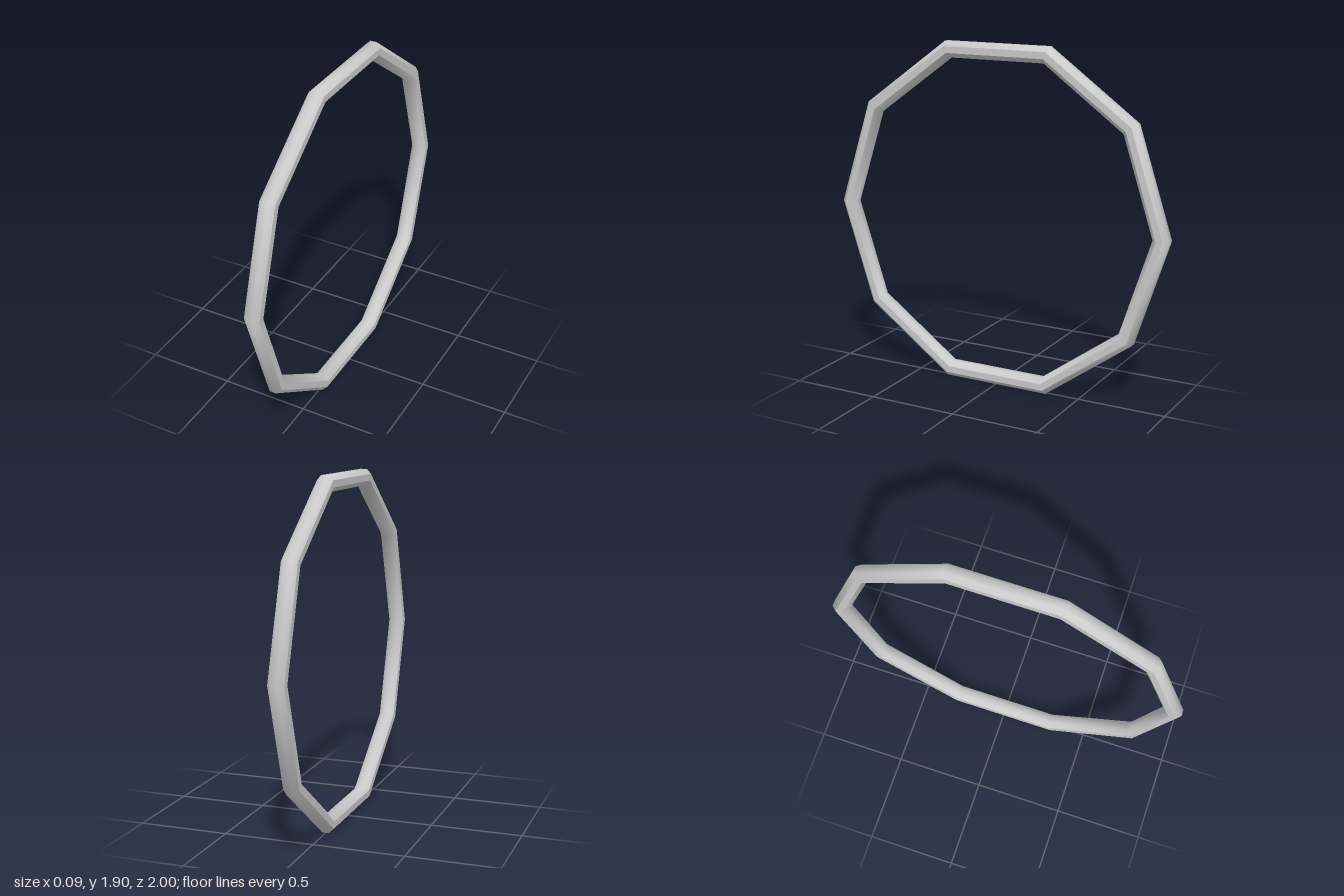
import * as THREE from 'three';
import { mergeGeometries } from 'three/addons/utils/BufferGeometryUtils.js';

const SIDES = 10;                          // corners of the ring
const CENTER_Y = Math.cos(Math.PI / SIDES); // the ring rests on a flat side
const MID = 0.954;                         // corner radius of the tube's centre line
const W = 0.044, H = 0.046;                // half width and half depth of the tube
const K = Math.tan(Math.PI / 8);           // octagon flat ratio

// Sweeps a run of [x, radius] points round the ring, smooth within the run
function sweep(points) {
  const pos = [], index = [], n = points.length;
  for (let j = 0; j < SIDES; j++) {
    const a = (j / SIDES) * Math.PI * 2;
    for (const [x, r] of points) pos.push(x, CENTER_Y + r * Math.sin(a), r * Math.cos(a));
  }
  for (let j = 0; j < SIDES; j++) {
    const a = j * n, b = ((j + 1) % SIDES) * n;
    for (let i = 0; i < n - 1; i++) {
      index.push(a + i, b + i, a + i + 1, b + i, b + i + 1, a + i + 1);
    }
  }
  const g = new THREE.BufferGeometry();
  g.setAttribute('position', new THREE.Float32BufferAttribute(pos, 3));
  g.setIndex(index);
  g.computeVertexNormals();
  return g;
}

export function createModel() {
  const group = new THREE.Group();
  group.name = 'ring';

  // Octagonal section, split into runs by the creases beside the flat side faces
  const outer = [[W, MID + H * K], [W * K, MID + H], [-W * K, MID + H], [-W, MID + H * K]];
  const inner = [[-W, MID - H * K], [-W * K, MID - H], [W * K, MID - H], [W, MID - H * K]];
  const rightSide = [outer[3], inner[0]];
  const leftSide = [inner[3], outer[0]];

  const mesh = new THREE.Mesh(
    mergeGeometries([outer, rightSide, inner, leftSide].map(sweep)),
    new THREE.MeshStandardMaterial({ color: 0xcccccc })
  );
  mesh.name = 'hoop';
  group.add(mesh);
  return group;
}
